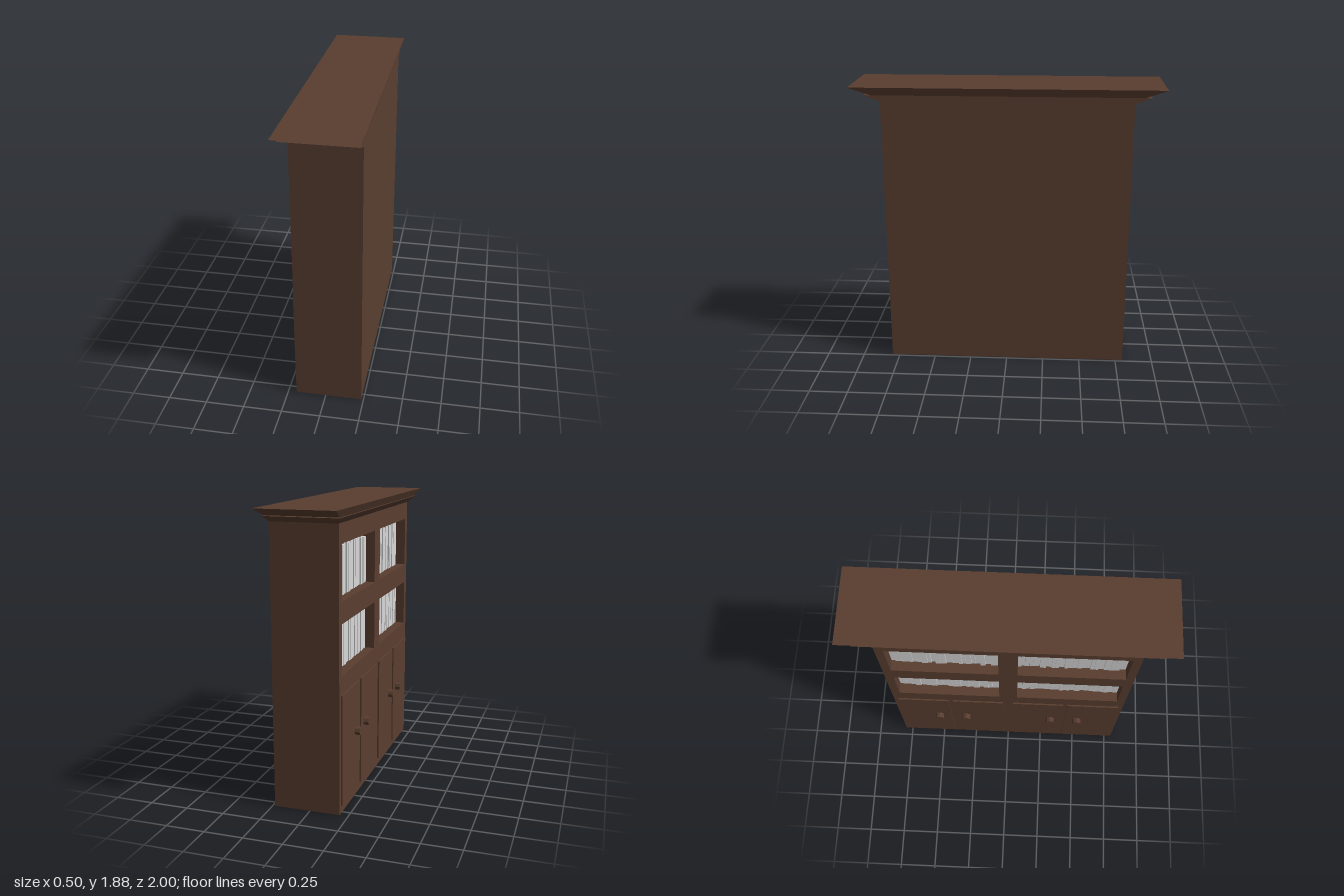
import * as THREE from 'three';

const wood = new THREE.MeshStandardMaterial({ color: 0x5a3e30 });
wood.name = 'darkWood';
const paper = new THREE.MeshStandardMaterial({ color: 0xd8d8d8 });
paper.name = 'paleBook';

const FRONT = -0.195, BACK = 0.235; // the shelves open towards -x
const HALF = 0.8, HEIGHT = 1.79;

// box given by its limits on each axis
function slab(name, [x0, x1], [y0, y1], [z0, z1], material = wood) {
  const mesh = new THREE.Mesh(new THREE.BoxGeometry(x1 - x0, y1 - y0, z1 - z0), material);
  mesh.position.set((x0 + x1) / 2, (y0 + y1) / 2, (z0 + z1) / 2);
  mesh.name = name;
  return mesh;
}

// moulding that flares from a lower rectangle to an upper one
function flare(name, low, high) {
  const geometry = new THREE.BoxGeometry(1, 1, 1);
  const p = geometry.attributes.position;
  for (let i = 0; i < p.count; i++) {
    const r = p.getY(i) > 0 ? high : low;
    p.setXYZ(i, p.getX(i) > 0 ? r.x1 : r.x0, r.y, p.getZ(i) > 0 ? r.z : -r.z);
  }
  geometry.computeVertexNormals();
  const mesh = new THREE.Mesh(geometry, wood);
  mesh.name = name;
  return mesh;
}

// small repeatable number source for the book sizes
let seed = 7;
function rand(min, max) {
  seed = (seed * 16807) % 2147483647;
  return min + (max - min) * (seed / 2147483647);
}

function bookRow(floor, space, z0, z1) {
  const row = new THREE.Group();
  row.name = 'bookRow';
  let z = z0;
  while (z < z1 - 0.001) {
    let w = rand(0.022, 0.042);
    if (z1 - z - w < 0.02) w = z1 - z;
    row.add(slab('book', [-0.13 + rand(-0.006, 0.006), 0.1],
      [floor, floor + space - rand(0.01, 0.04)], [z, z + w - 0.001], paper));
    z += w;
  }
  return row;
}

export function createModel() {
  const model = new THREE.Group();
  model.name = 'bookcase';
  const depth = [FRONT, BACK], inner = [FRONT, 0.1];
  const shelves = [[0.88, 1.195], [1.33, 1.67]]; // floor and ceiling of each opening

  // carcass
  model.add(slab('backPanel', [0.1, BACK], [0.88, HEIGHT], [-HALF, HALF]));
  model.add(slab('header', inner, [1.67, HEIGHT], [-HALF, HALF]));
  model.add(slab('middleShelf', inner, [1.195, 1.33], [-HALF, HALF]));
  for (const [y0, y1] of shelves) {
    model.add(slab('centreDivider', inner, [y0, y1], [-0.06, 0.06]));
  }

  for (const s of [-1, 1]) {
    const span = (a, b) => (s > 0 ? [a, b] : [-b, -a]);
    model.add(slab('lowerCabinet', depth, [0, 0.88], span(0, HALF)));

    // side walls and books
    for (const [y0, y1] of shelves) {
      model.add(slab('sidePanel', inner, [y0, y1], span(0.745, HALF)));
      model.add(bookRow(y0, y1 - y0, ...span(0.06, 0.745)));
    }

    // pair of doors, each with a knob near the meeting edge
    for (const [a, b, knobZ] of [[0.035, 0.385, 0.305], [0.415, 0.77, 0.5]]) {
      model.add(slab('door', [-0.205, FRONT], [0.05, 0.76], span(a, b)));
      const knob = new THREE.Mesh(
        new THREE.CylinderGeometry(0.03, 0.03, 0.035, 8).toNonIndexed(), wood);
      knob.geometry.computeVertexNormals();
      knob.rotation.z = Math.PI / 2;
      knob.position.set(-0.2215, 0.45, s * knobZ);
      knob.name = 'knob';
      model.add(knob);
    }
  }

  // two-tier cornice
  model.add(flare('lowerCornice',
    { x0: FRONT, x1: BACK, y: HEIGHT, z: HALF },
    { x0: -0.235, x1: BACK, y: 1.83, z: 0.905 }));
  model.add(flare('upperCornice',
    { x0: -0.222, x1: BACK, y: 1.83, z: 0.86 },
    { x0: -0.25, x1: 0.25, y: 1.88, z: 1 }));

  return model;
}
